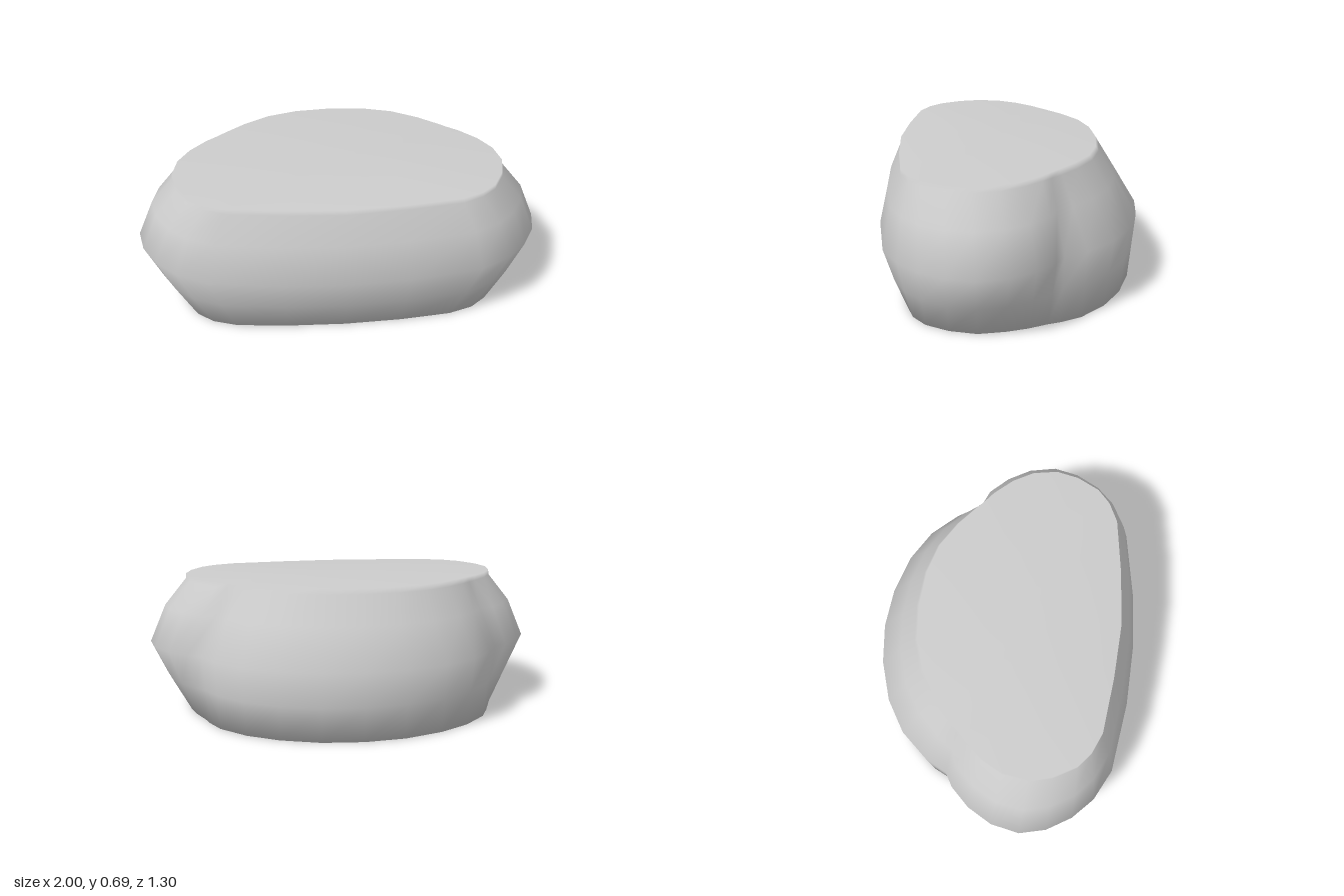
import * as THREE from 'three';

// Half outlines from back centre, round the +x side, to front centre: [x, z]
const BOTTOM = [[0, -.625], [.2, -.605], [.39, -.54], [.54, -.45], [.66, -.33], [.71, -.23], [.73, -.17], [.77, -.08],
  [.8, .02], [.82, .15], [.79, .28], [.73, .39], [.65, .455], [.53, .495], [.28, .52], [0, .53]];
const MIDDLE = [[0, -.655], [.2, -.635], [.4, -.575], [.56, -.48], [.68, -.35], [.74, -.24], [.81, -.2], [.9, -.11],
  [.97, .01], [1, .15], [.97, .28], [.9, .4], [.8, .5], [.65, .58], [.3, .635], [0, .65]];
const TOP = [[0, -.44], [.18, -.425], [.33, -.38], [.46, -.3], [.55, -.225], [.6, -.18], [.65, -.14], [.73, -.05],
  [.785, .05], [.805, .17], [.78, .28], [.72, .39], [.65, .45], [.55, .495], [.28, .53], [0, .55]];

// Heights with the two outlines to blend and the blend amount at the back and front
const LEVELS = [
  [0, BOTTOM, MIDDLE, 0, 0],
  [.17, BOTTOM, MIDDLE, .5, .55],
  [.34, BOTTOM, MIDDLE, 1, 1],
  [.53, MIDDLE, TOP, .54, .42],
  [.665, MIDDLE, TOP, .93, .99],
  [.69, MIDDLE, TOP, 1, 1],
];

function ring([y, a, b, back, front]) {
  const half = a.map(([x, z], i) => {
    const t = i < 6 ? back : front;
    return [x + (b[i][0] - x) * t, y, z + (b[i][1] - z) * t];
  });
  const mirrored = half.slice(1, -1).reverse().map(([x, h, z]) => [-x, h, z]);
  return [...half, ...mirrored];
}

// Loft through the rings, closed above and below by flat fans that share the rim normals
function cushionGeometry() {
  const rings = LEVELS.map(ring);
  const n = rings[0].length;
  const last = (rings.length - 1) * n;
  const points = rings.flat();
  const low = points.push([0, 0, .05]) - 1;
  const high = points.push([0, .69, .08]) - 1;
  const index = [];
  for (let i = 0; i < n; i++) {
    const j = (i + 1) % n;
    for (let r = 0; r < last; r += n) {
      index.push(r + i, r + n + i, r + j, r + j, r + n + i, r + n + j);
    }
    index.push(low, i, j, high, last + j, last + i);
  }
  const geometry = new THREE.BufferGeometry();
  geometry.setAttribute('position', new THREE.Float32BufferAttribute(points.flat(), 3));
  geometry.setIndex(index);
  geometry.computeVertexNormals();
  return geometry;
}

export function createModel() {
  const group = new THREE.Group();
  group.name = 'cushion';
  const grey = new THREE.MeshStandardMaterial({ color: 0xcccccc });
  grey.name = 'light grey';
  const body = new THREE.Mesh(cushionGeometry(), grey);
  body.name = 'cushionBody';
  group.add(body);
  return group;
}
